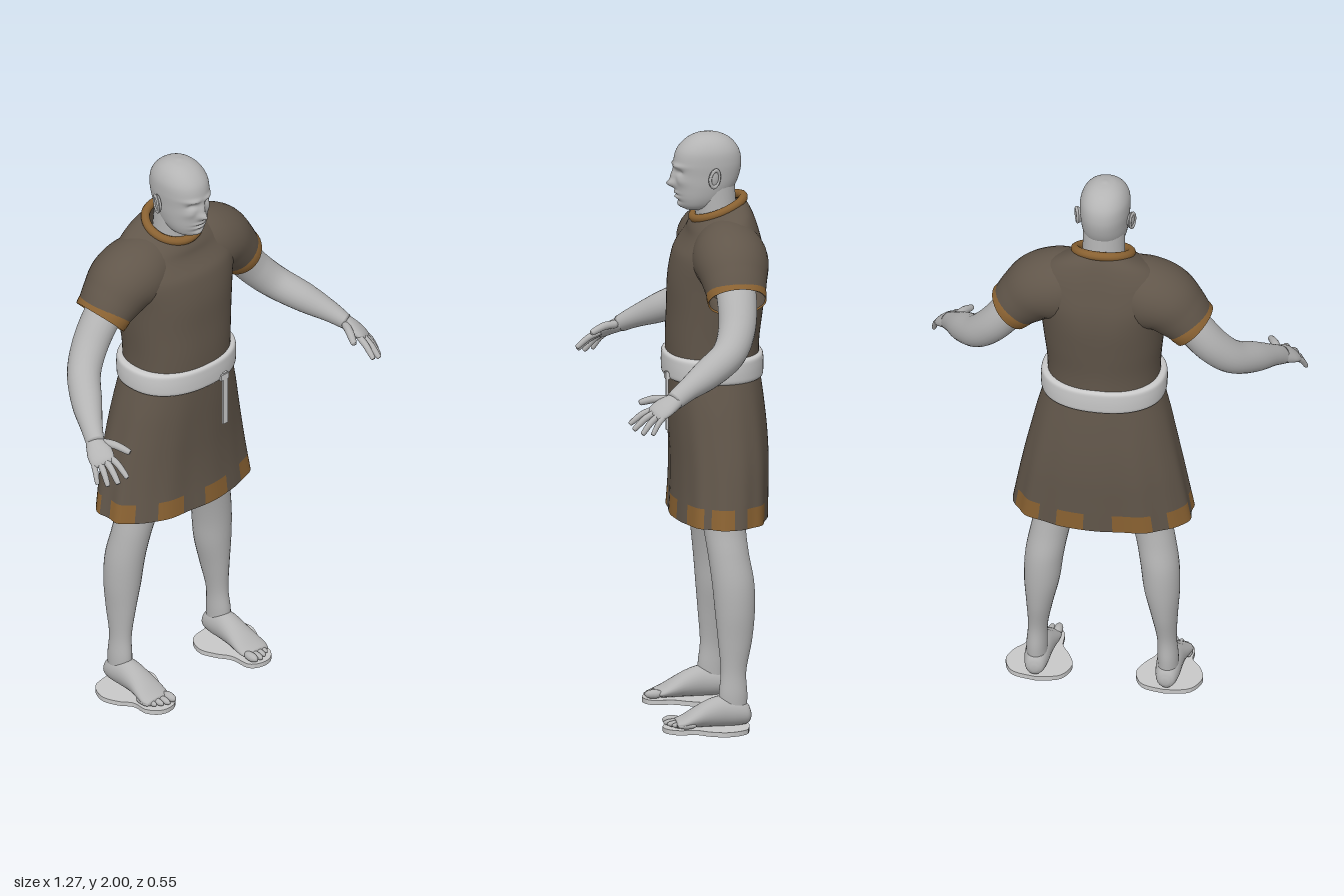
import * as THREE from 'three';

const V = (x, y, z) => new THREE.Vector3(x, y, z);
const UP = [V(0, 0, 1), V(1, 0, 0)];      // section axes for parts rising along y
const FORWARD = [V(1, 0, 0), V(0, 1, 0)]; // section axes for parts running along +z
const mat = (name, color, side = THREE.FrontSide) => {
  const m = new THREE.MeshStandardMaterial({ color, side });
  m.name = name;
  return m;
};

// Catmull-Rom interpolation of rows of numbers
function sample(rows, t) {
  const n = rows.length - 1, s = Math.min(t * n, n - 1e-6), i = Math.floor(s), f = s - i;
  const at = (k) => k < 0 ? rows[0].map((v, c) => 2 * v - rows[1][c])
    : k > n ? rows[n].map((v, c) => 2 * v - rows[n - 1][c]) : rows[k];
  const [a, b, c, d] = [at(i - 1), at(i), at(i + 1), at(i + 2)];
  return b.map((v, k) => v + 0.5 * f * (c[k] - a[k] + f * (2 * a[k] - 5 * v + 4 * c[k] - d[k]
    + f * (3 * (v - c[k]) + d[k] - a[k]))));
}

// Loft through rows [x, y, z, a, b]; axes = fixed pair, or one vector kept square to the path
function loft(rows, axes, { steps = 24, sides = 24, power = 2, caps = true, mod, slot } = {}) {
  const pos = [], idx = [[], []];
  for (let j = 0; j <= steps; j++) {
    const t = j / steps, [x, y, z, a, b] = sample(rows, t);
    let u, v;
    if (Array.isArray(axes)) [u, v] = axes;
    else {
      const p = sample(rows, Math.max(0, t - 0.01)), q = sample(rows, Math.min(1, t + 0.01));
      const tan = V(q[0] - p[0], q[1] - p[1], q[2] - p[2]).normalize();
      u = axes.clone().addScaledVector(tan, -axes.dot(tan)).normalize();
      v = tan.clone().cross(u);
    }
    for (let i = 0; i < sides; i++) {
      const th = i / sides * Math.PI * 2, m = mod ? mod(t, th) : 1;
      const se = (c) => Math.sign(c) * Math.abs(c) ** (2 / power) * m;
      pos.push(...V(x, y, z).addScaledVector(u, Math.max(a, 0.001) * se(Math.cos(th)))
        .addScaledVector(v, Math.max(b, 0.001) * se(Math.sin(th))).toArray());
    }
  }
  for (let j = 0; j < steps; j++) for (let i = 0; i < sides; i++) {
    const k = (i + 1) % sides, r = j * sides, s = r + sides;
    idx[slot ? slot((j + 0.5) / steps, (i + 0.5) / sides * 360) : 0]
      .push(r + i, r + k, s + k, r + i, s + k, s + i);
  }
  if (caps) {
    const c = pos.length / 3, top = steps * sides;
    pos.push(...sample(rows, 0).slice(0, 3), ...sample(rows, 1).slice(0, 3));
    for (let i = 0; i < sides; i++) {
      const k = (i + 1) % sides;
      idx[0].push(c, k, i, c + 1, top + i, top + k);
    }
  }
  const g = new THREE.BufferGeometry();
  g.setAttribute('position', new THREE.Float32BufferAttribute(pos, 3));
  g.setIndex([...idx[0], ...idx[1]]);
  if (slot) {
    g.addGroup(0, idx[0].length, 0);
    g.addGroup(idx[0].length, idx[1].length, 1);
  }
  g.computeVertexNormals();
  return g;
}

// Horizontal rings from [y, half width, front z, back z]
const rings = (list) => list.map(([y, w, f, b]) => [0, y, (f + b) / 2, (f - b) / 2, w]);

function mirrored(geo) {
  const g = geo.clone().scale(-1, 1, 1), ix = g.index.array;
  for (let i = 0; i < ix.length; i += 3) [ix[i], ix[i + 1]] = [ix[i + 1], ix[i]];
  g.computeVertexNormals();
  return g;
}

export function createModel() {
  const group = new THREE.Group();
  const skin = mat('skin grey', 0xb4b4b4), pale = mat('belt grey', 0xc8c8c8);
  const cloth = mat('tunic brown', 0x61564a, THREE.DoubleSide);
  const trim = mat('trim ochre', 0x8a6232, THREE.DoubleSide);
  const add = (name, geo, material) => {
    const m = new THREE.Mesh(geo, material);
    m.name = name;
    group.add(m);
  };
  const pair = (name, geo, material) => {
    add('left ' + name, geo, material);
    add('right ' + name, mirrored(geo), material);
  };

  // Tunic body, neckline tilted down to the front
  const torso = loft(rings([[1.2, .188, .058, -.248], [1.3, .19, .06, -.25], [1.4, .2, .056, -.262],
    [1.5, .212, .052, -.272], [1.58, .232, .036, -.268], [1.64, .232, .012, -.25], [1.69, .19, -.008, -.228],
    [1.72, .14, -.016, -.212], [1.74, .097, -.03, -.2]]), UP, {
    steps: 40, sides: 64, power: 2.25, caps: false,
    mod: (t, th) => 1 - .04 * Math.exp(-(((th - Math.PI) / .16) ** 2)) * Math.sin(Math.PI * t),
  });
  const tp = torso.attributes.position;
  for (let i = 0; i < tp.count; i++) {
    const s = THREE.MathUtils.smoothstep(tp.getY(i), 1.58, 1.73);
    tp.setY(i, tp.getY(i) - .4 * s * (tp.getZ(i) + .115));
  }
  torso.computeVertexNormals();
  add('tunic body', torso, cloth);

  // Collar band
  const ring = [...Array(24).keys()].map((i) => {
    const a = i / 24 * Math.PI * 2, s = Math.sin(a);
    return V(.094 * Math.cos(a), 1.742 - .034 * s, -.115 + .084 * s);
  });
  add('collar', new THREE.TubeGeometry(new THREE.CatmullRomCurve3(ring, true), 64, .015, 10, true), trim);

  // Sleeves and cuffs
  pair('sleeve', loft([[.08, 1.6, -.125, .11, .125], [.15, 1.598, -.128, .125, .124], [.21, 1.582, -.13, .122, .115],
    [.26, 1.54, -.13, .108, .1], [.31, 1.487, -.13, .094, .08]], V(0, 0, 1),
  { steps: 24, sides: 32, caps: false }), cloth);
  pair('sleeve cuff', loft([[.286, 1.511, -.13, .1, .087], [.298, 1.499, -.13, .101, .086],
    [.312, 1.485, -.13, .098, .084]], V(0, 0, 1), { steps: 6, sides: 32, caps: false }), trim);

  // Skirt with a broken hem band
  const gaps = [[17, 35], [59, 68], [93, 107], [140, 155], [175, 188], [215, 230], [262, 274], [302, 324], [346, 359]];
  add('skirt', loft(rings([[.7, .304, .05, -.272], [.8, .286, .045, -.275], [.9, .267, .045, -.277],
    [1, .245, .05, -.273], [1.1, .222, .056, -.263], [1.2, .194, .06, -.25]]), UP, {
    steps: 30, sides: 120, power: 2.25, caps: false,
    mod: (t, th) => 1 + .014 * (1 - t) * (Math.sin(9 * th) + .6 * Math.sin(14 * th + 1)),
    slot: (t, deg) => t < .13 && !gaps.some(([a, b]) => deg > a && deg < b) ? 1 : 0,
  }), [cloth, trim]);

  // Belt with hanging end
  add('belt', loft(rings([[1.172, .19, .055, -.245], [1.178, .207, .07, -.26], [1.2, .211, .073, -.263],
    [1.232, .211, .073, -.263], [1.252, .207, .07, -.26], [1.258, .19, .055, -.245]]), UP,
  { steps: 20, sides: 64, power: 2.25 }), pale);
  add('belt end', new THREE.BoxGeometry(.019, .2, .008).translate(.07, 1.1, .069), pale);
  add('belt knot', new THREE.BoxGeometry(.035, .022, .014).translate(.066, 1.185, .068), pale);

  // Neck
  add('neck', loft([[0, 1.64, -.12, .075, .078], [0, 1.73, -.108, .07, .072], [0, 1.83, -.1, .07, .07]], UP), skin);

  // Head, with the face pushed out and in: [x, y, x spread, y spread, depth]
  const face = [[0, 1.826, .013, .013, .024], [0, 1.85, .01, .024, .014], [.033, 1.891, .026, .008, .008],
    [.033, 1.87, .016, .01, -.012], [.045, 1.84, .018, .015, .005], [0, 1.797, .024, .005, .007],
    [0, 1.789, .026, .003, -.005], [0, 1.781, .022, .005, .007], [0, 1.768, .03, .005, -.004], [0, 1.752, .022, .01, .007]];
  const head = loft(rings([[1.738, .03, -.005, -.08], [1.752, .052, .014, -.11], [1.78, .067, .025, -.145],
    [1.82, .076, .03, -.172], [1.86, .08, .033, -.187], [1.9, .083, .035, -.192], [1.94, .08, .025, -.184],
    [1.972, .064, -.002, -.16], [1.992, .038, -.037, -.125], [2, .006, -.074, -.086]]), UP,
  { steps: 90, sides: 80, power: 2.15 });
  const hp = head.attributes.position;
  for (let i = 0; i < hp.count; i++) {
    const x = hp.getX(i), y = hp.getY(i), z = hp.getZ(i);
    if (z < -.06) continue;
    const push = face.reduce((sum, [fx, fy, sx, sy, d]) =>
      sum + d * Math.exp(-(((Math.abs(x) - fx) / sx) ** 2) - ((y - fy) / sy) ** 2), 0);
    hp.setZ(i, z + push * THREE.MathUtils.smoothstep(z, -.06, -.01));
  }
  head.computeVertexNormals();
  add('head', head, skin);
  const ear = new THREE.SphereGeometry(1, 16, 12).scale(.009, .033, .021).rotateY(.35).rotateX(-.15);
  pair('ear', ear.translate(.088, 1.858, -.088), skin);
  pair('ear rim', new THREE.TorusGeometry(.02, .005, 8, 20).scale(.85, 1.45, 1)
    .rotateY(Math.PI / 2 + .35).rotateX(-.15).translate(.094, 1.858, -.09), skin);

  // Arms
  pair('arm', loft([[.25, 1.54, -.13, .068, .065], [.31, 1.475, -.13, .066, .062], [.37, 1.4, -.118, .062, .06],
    [.43, 1.335, -.08, .057, .056], [.49, 1.285, 0, .052, .05], [.537, 1.245, .075, .038, .036],
    [.565, 1.215, .125, .032, .026]], V(0, 0, 1), { steps: 40 }), skin);

  // Hands: palm, four fingers and thumb
  pair('palm', loft([[.557, 1.224, .108, .028, .024], [.569, 1.209, .135, .036, .023], [.578, 1.197, .16, .043, .02],
    [.587, 1.181, .186, .041, .015], [.591, 1.174, .198, .03, .007]], V(-.053, .02, .03), { steps: 16 }), skin);
  const fingers = [[[.561, 1.19, .193], [.555, 1.143, .27], .011], [[.579, 1.183, .19], [.588, 1.13, .262], .0115],
    [[.596, 1.177, .18], [.611, 1.119, .237], .011], [[.611, 1.173, .166], [.63, 1.12, .206], .0095],
    [[.548, 1.218, .14], [.507, 1.202, .228], .0135]];
  fingers.forEach(([k, tip, r], n) => {
    const mid = k.map((v, c) => (v + tip[c]) / 2 + (c === 1 ? .007 : 0));
    const end = tip.map((v, c) => v + (tip[c] - mid[c]) * .06);
    pair(n === 4 ? 'thumb' : 'finger ' + (n + 1), loft([[...k, r, r], [...mid, r, r], [...tip, r * .75, r * .75],
      [...end, .001, .001]], V(-.8, .3, .45), { steps: 14, sides: 12 }), skin);
  });

  // Legs
  pair('leg', loft([[.222, .05, -.13, .045, .034], [.222, .12, -.13, .048, .035], [.218, .2, -.132, .043, .033],
    [.211, .3, -.138, .057, .045], [.203, .4, -.139, .067, .06], [.195, .5, -.134, .071, .065],
    [.177, .6, -.12, .069, .066], [.152, .7, -.11, .073, .071], [.13, .85, -.105, .09, .085],
    [.12, 1, -.1, .1, .09]], UP, { steps: 48, sides: 28 }), skin);

  // Feet and toes
  pair('foot', loft([[.222, .05, -.19, .012, .012], [.222, .055, -.178, .031, .034], [.222, .063, -.14, .041, .048],
    [.221, .066, -.09, .044, .052], [.22, .058, -.04, .047, .044], [.221, .045, .005, .053, .031],
    [.223, .034, .04, .055, .019], [.223, .03, .065, .046, .012]], FORWARD, { steps: 32 }), skin);
  [[.185, .104, .0155], [.209, .104, .012], [.23, .095, .0115], [.25, .082, .011], [.267, .064, .0105]]
    .forEach(([x, tip, r], n) => pair('toe ' + (n + 1),
      new THREE.SphereGeometry(1, 14, 10).scale(r, r, .032).translate(x, .017 + r, tip - .032), skin));

  // Sole plates: broad under the heel, narrower under the toes
  const sole = new THREE.Shape();
  sole.setFromPoints(new THREE.SplineCurve([[.22, .185], [.3, .165], [.333, .1], [.315, .04], [.282, -.005],
    [.28, -.06], [.25, -.098], [.205, -.105], [.165, -.08], [.158, -.01], [.128, .04], [.108, .1], [.14, .165], [.22, .185]]
    .map(([x, z]) => new THREE.Vector2(x, -z))).getPoints(60));
  const plate = new THREE.ExtrudeGeometry(sole, { depth: .016, bevelEnabled: false }).rotateX(-Math.PI / 2);
  plate.scale(1, 1, -1);
  const n = plate.attributes.position.count;
  plate.setIndex([...Array(n).keys()].map((i) => i % 3 === 0 ? i + 1 : i % 3 === 1 ? i - 1 : i));
  plate.computeVertexNormals();
  pair('sole plate', plate, pale);

  return group;
}
